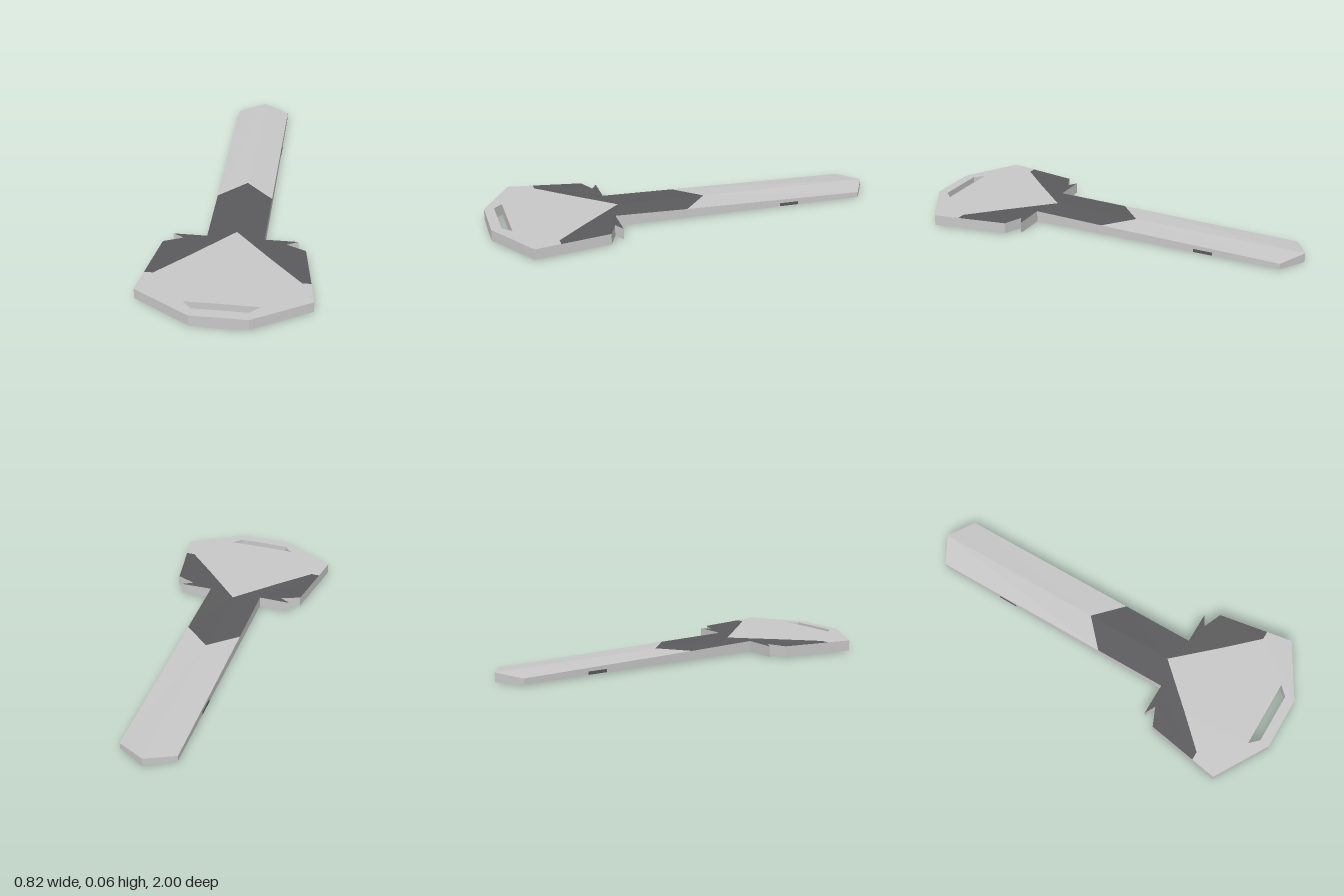
import * as THREE from 'three';
import { mergeGeometries } from 'three/addons/utils/BufferGeometryUtils.js';

const lightGrey = new THREE.MeshStandardMaterial({ name: 'lightGrey', color: 0xc8c8c8 });
const darkGrey = new THREE.MeshStandardMaterial({ name: 'darkGrey', color: 0x5b5b5d });

// Thickness: nearly flat head, blade thinning to the tip with a soft centre ridge
const lerp = THREE.MathUtils.lerp;
const topY = (x, z) => {
  const k = THREE.MathUtils.clamp((0.39 - z) / 1.31, 0, 1.07);
  const t = Math.min(1, Math.abs(x) / (z < 0.39 ? 0.14 : 0.41));
  return lerp(lerp(0.063, 0.047, k), lerp(0.06, 0.034, k), t);
};
const bottomY = (x) => 0.006 * Math.min(1, Math.abs(x) / 0.14);

// Half outlines as [x, z], all mirrored across x = 0
const hook = [[0.14, 0.39], [0.305, 0.39], [0.25, 0.42], [0.345, 0.46]];
const rim = [[0.41, 0.84], [0.135, 1]];
const slot = [[0, 0.95], [0.13, 0.95], [0.175, 0.905], [0, 0.905]];
const outline = [[0, -1], [0.14, -0.92], [0.14, 0.02], ...hook, [0.388, 0.71], ...rim, [0, 1]];

// Horizontal face laid on the upper or lower surface
function sheet(points, isTop) {
  const halves = [1, -1].map((side) => {
    const shape = new THREE.Shape(points.map(([x, z]) => new THREE.Vector2(side * x, -z)));
    const g = new THREE.ShapeGeometry(shape);
    const p = g.attributes.position;
    for (let i = 0; i < p.count; i++) {
      const x = p.getX(i), z = -p.getY(i);
      p.setXYZ(i, x, isTop ? topY(x, z) : bottomY(x), z);
    }
    if (!isTop) g.setIndex(Array.from(g.index.array).reverse());
    return g.toNonIndexed();
  });
  const merged = mergeGeometries(halves);
  merged.computeVertexNormals();
  return merged;
}

// Vertical wall following a half outline and its mirror
function wall(points) {
  const pos = [];
  for (const side of [1, -1]) {
    for (let i = 0; i < points.length - 1; i++) {
      const [a, b] = side > 0 ? [points[i], points[i + 1]] : [points[i + 1], points[i]];
      const lo = ([x, z]) => [side * x, bottomY(x), z];
      const hi = ([x, z]) => [side * x, topY(x, z), z];
      pos.push(...lo(a), ...hi(a), ...hi(b), ...lo(a), ...hi(b), ...lo(b));
    }
  }
  const g = new THREE.BufferGeometry();
  g.setAttribute('position', new THREE.Float32BufferAttribute(pos, 3));
  g.computeVertexNormals();
  return g;
}

export function createModel() {
  const group = new THREE.Group();
  group.name = 'flatPaddle';
  const add = (name, geometry, material) => {
    const mesh = new THREE.Mesh(geometry, material);
    mesh.name = name;
    group.add(mesh);
    return mesh;
  };

  // Upper surface
  add('bladeTop', sheet([[0, -1], [0.14, -0.92], [0.14, 0.02], [0, -0.11]], true), lightGrey);
  add('neckTop', sheet([[0, -0.11], [0.14, 0.02], ...hook, [0.388, 0.71], [0.345, 0.71],
    [0.2, 0.56], [0, 0.345]], true), darkGrey);
  add('headTop', sheet([[0, 0.345], [0.2, 0.56], [0.345, 0.71], [0.388, 0.71], ...rim,
    [0, 1], ...slot], true), lightGrey);

  // Lower surface with its dark patch
  add('bladeTipUnderside', sheet([[0, -1], [0.14, -0.92], [0.14, -0.58], [0.05, -0.76],
    [0, -0.77]], false), lightGrey);
  add('undersidePatch', sheet([[0, -0.77], [0.05, -0.76], [0.14, -0.58], [0.14, -0.48],
    [0, -0.34]], false), darkGrey);
  add('underside', sheet([[0, -0.34], [0.14, -0.48], ...hook, [0.388, 0.71], ...rim,
    [0, 1], ...slot], false), lightGrey);

  // Edges of the body and of the slot
  add('outerEdge', wall(outline), lightGrey);
  add('slotEdge', wall(slot), lightGrey);

  // Dark marks where the patch wraps onto the blade edges
  for (const side of [1, -1]) {
    add(side > 0 ? 'leftEdgeMark' : 'rightEdgeMark', new THREE.BoxGeometry(0.002, 0.016, 0.1), darkGrey)
      .position.set(side * 0.14, 0.015, -0.53);
  }
  return group;
}
